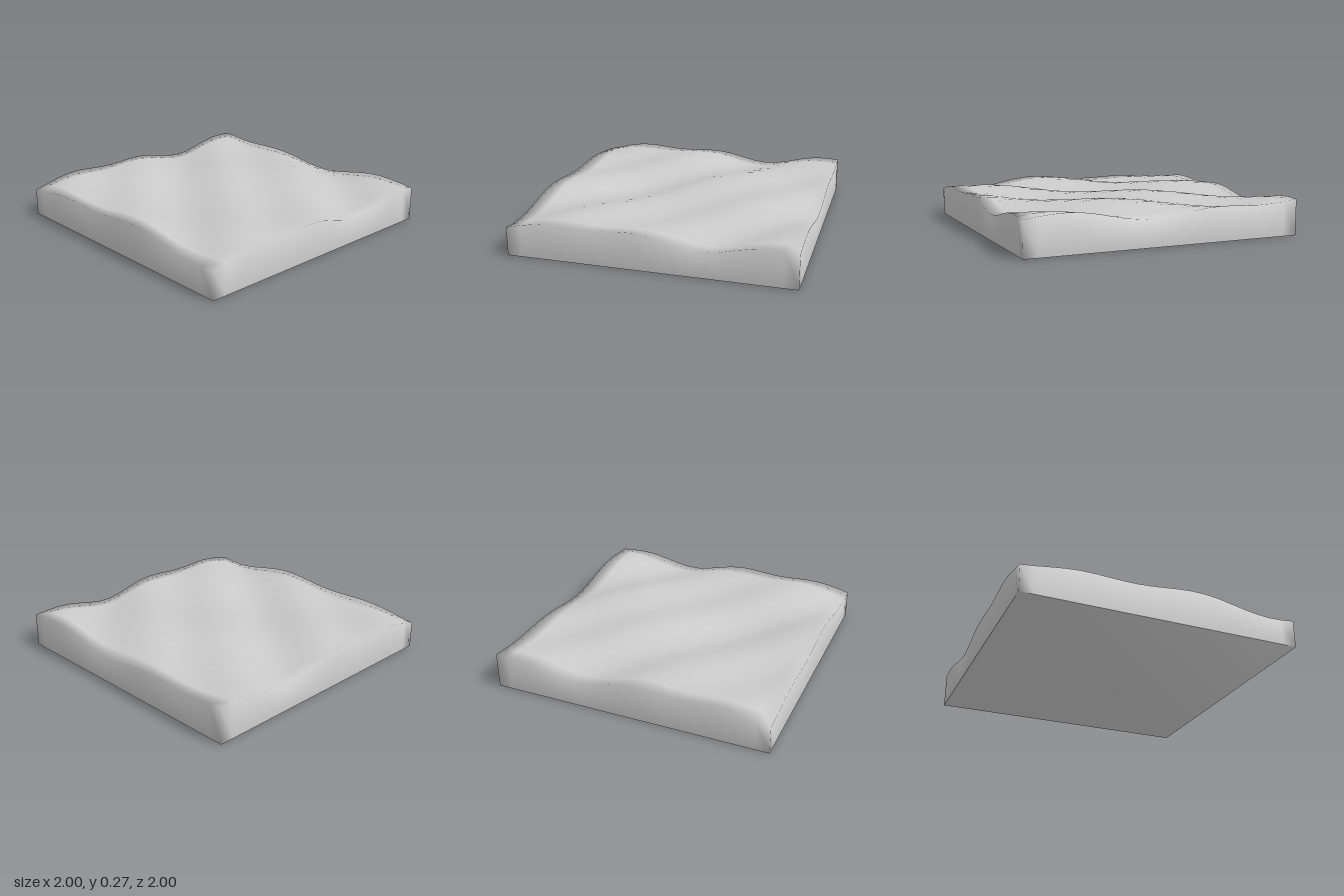
import * as THREE from 'three';

// Rippled top surface: a broad chequer of swells with finer diagonal waves over it
function surfaceHeight(x, z) {
  const p = 4.15 * x, q = 3.3 * z;
  return 0.232 + 0.031 * Math.sin(p) * Math.cos(q) + 0.02 * Math.cos(2 * (p + q));
}

// Closed slab: wavy grid on top, vertical walls, flat underside
function slabGeometry(n) {
  const positions = [], index = [];
  const top = (i, j) => i * (n + 1) + j;
  const coord = (i) => -1 + (2 * i) / n;

  // Top grid
  for (let i = 0; i <= n; i++) {
    for (let j = 0; j <= n; j++) {
      const x = coord(i), z = coord(j);
      positions.push(x, surfaceHeight(x, z), z);
    }
  }
  for (let i = 0; i < n; i++) {
    for (let j = 0; j < n; j++) {
      const a = top(i, j), b = top(i, j + 1), c = top(i + 1, j + 1), d = top(i + 1, j);
      index.push(a, b, c, a, c, d);
    }
  }

  // Rim, walked once round the four sides
  const rim = [];
  for (let k = 0; k < n; k++) rim.push([0, k]);
  for (let k = 0; k < n; k++) rim.push([k, n]);
  for (let k = 0; k < n; k++) rim.push([n, n - k]);
  for (let k = 0; k < n; k++) rim.push([n - k, 0]);

  // Walls share the rim vertices so the upper edge shades softly
  const base = (n + 1) * (n + 1);
  rim.forEach(([i, j]) => positions.push(coord(i), 0, coord(j)));
  rim.forEach(([i, j], k) => {
    const next = (k + 1) % rim.length;
    const t0 = top(i, j), t1 = top(...rim[next]);
    index.push(t0, base + k, base + next, t0, base + next, t1);
  });

  // Underside
  const corners = [0, 1, 2, 3].map((c) => base + c * n);
  index.push(corners[0], corners[2], corners[1], corners[0], corners[3], corners[2]);

  const geometry = new THREE.BufferGeometry();
  geometry.setAttribute('position', new THREE.Float32BufferAttribute(positions, 3));
  geometry.setIndex(index);
  geometry.computeVertexNormals();

  // Bottom corners blend both walls and the underside evenly
  const normal = geometry.attributes.normal;
  const position = geometry.attributes.position;
  for (const c of corners) {
    const v = new THREE.Vector3(position.getX(c), -1, position.getZ(c)).normalize();
    normal.setXYZ(c, v.x, v.y, v.z);
  }
  return geometry;
}

export function createModel() {
  const group = new THREE.Group();
  group.name = 'rippledTile';
  const grey = new THREE.MeshStandardMaterial({ color: 0xcccccc });
  grey.name = 'light grey';
  const slab = new THREE.Mesh(slabGeometry(20), grey);
  slab.name = 'wavySlab';
  group.add(slab);
  return group;
}
